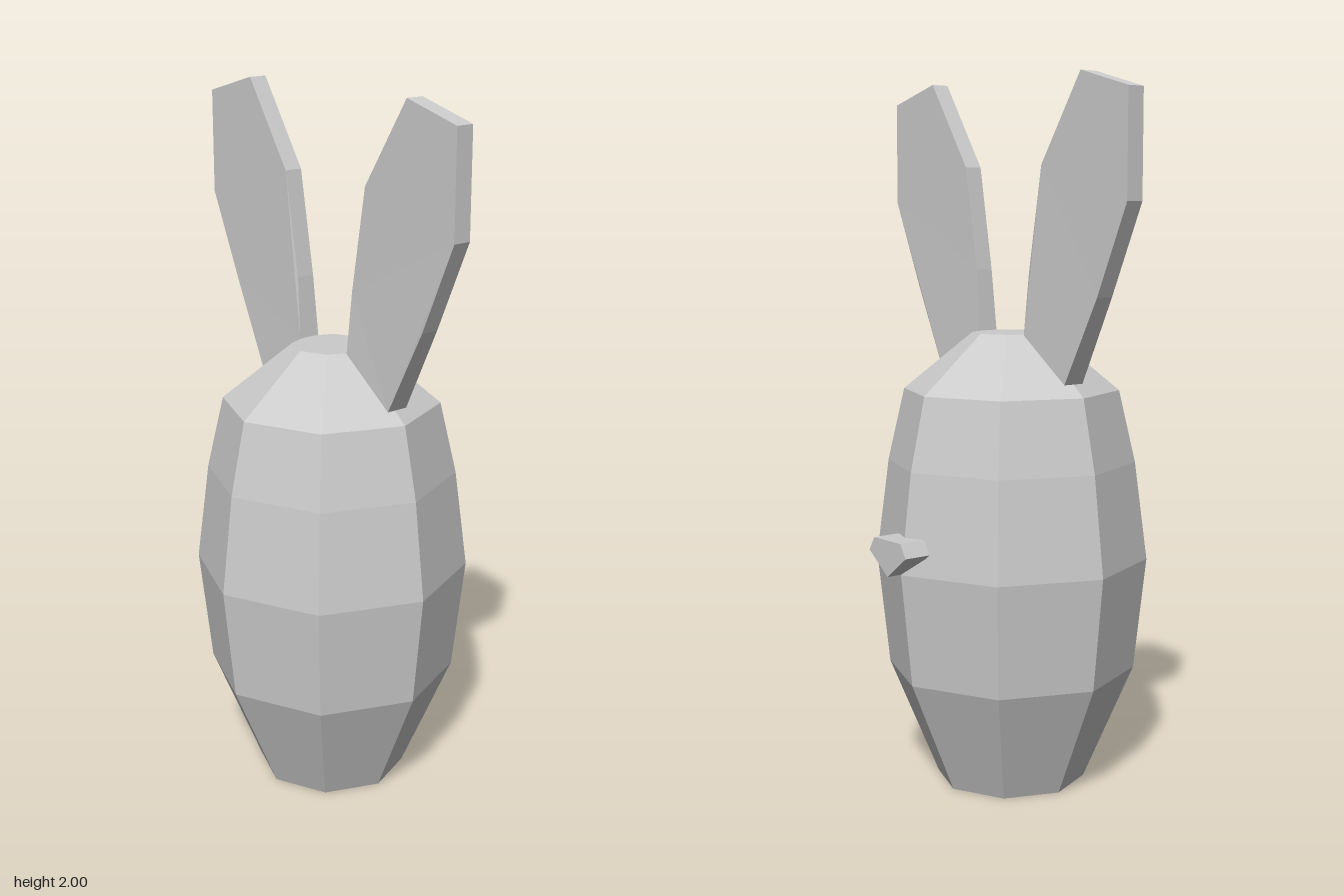
import * as THREE from 'three';

const CENTRE_X = -0.023;

// Slab with a [z, y] outline, spanning x0 to x1
function slab(outline, x0, x1) {
  const shape = new THREE.Shape(outline.map(([z, y]) => new THREE.Vector2(z, y)));
  const geo = new THREE.ExtrudeGeometry(shape, { depth: x1 - x0, bevelEnabled: false });
  return geo.rotateY(-Math.PI / 2).translate(x1, 0, 0);
}

export function createModel() {
  const group = new THREE.Group();
  const material = new THREE.MeshStandardMaterial({ color: 0xcccccc, flatShading: true });

  function add(name, geometry) {
    const flat = geometry.index ? geometry.toNonIndexed() : geometry;
    flat.computeVertexNormals();
    const mesh = new THREE.Mesh(flat, material);
    mesh.name = name;
    group.add(mesh);
    return mesh;
  }

  // Eight-sided barrel body, closed at both ends
  const profile = [
    [0, 0], [0.213, 0], [0.355, 0.33], [0.39, 0.65],
    [0.354, 0.93], [0.307, 1.135], [0.11, 1.297], [0, 1.297],
  ].map(([r, y]) => new THREE.Vector2(r, y));
  add('body', new THREE.LatheGeometry(profile, 8)).position.x = CENTRE_X;

  // Pair of flat ears, mirrored in z and slightly thicker towards the root
  const earOutline = [
    [0.27, 1.17], [0.39, 1.41], [0.5, 1.66], [0.5, 1.95],
    [0.32, 2], [0.165, 1.76], [0.115, 1.47], [0.1, 1.295],
  ];
  for (const [name, side] of [['frontEar', 1], ['backEar', -1]]) {
    const ear = slab(earOutline.map(([z, y]) => [z * side, y]), -0.027, 0.027);
    const p = ear.attributes.position;
    for (let i = 0; i < p.count; i++) {
      if (p.getY(i) < 1.35) p.setX(i, p.getX(i) * 1.22);
    }
    add(name, ear).position.x = -0.019;
  }

  // Five-sided nose projecting from the +x side
  add('nose', slab(
    [[0, 0.652], [0.084, 0.715], [0.061, 0.753], [-0.061, 0.753], [-0.084, 0.715]],
    0.332, 0.412,
  ));

  return group;
}
